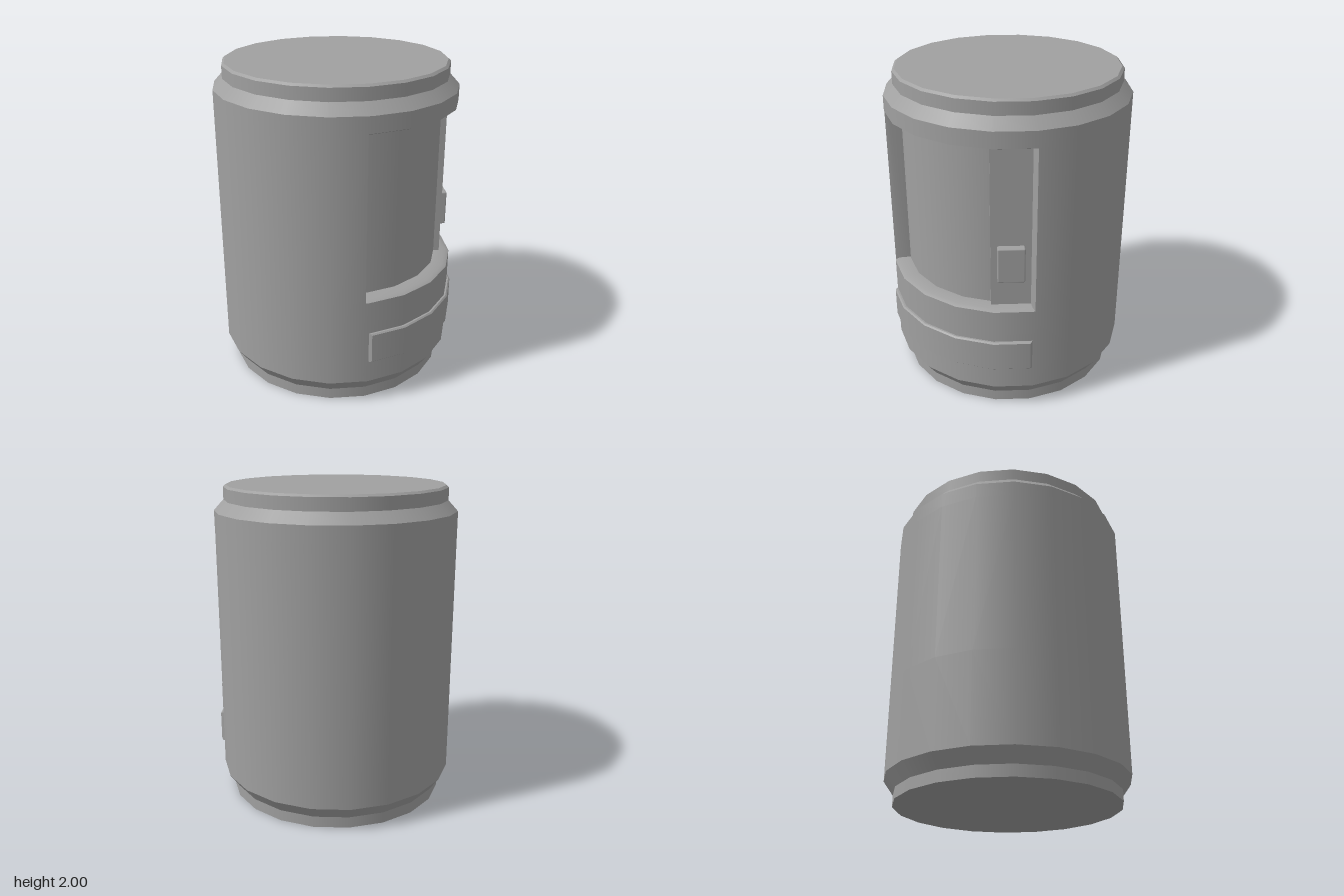
import * as THREE from 'three';
import { mergeGeometries, toCreasedNormals } from 'three/addons/utils/BufferGeometryUtils.js';
import { RoundedBoxGeometry } from 'three/addons/geometries/RoundedBoxGeometry.js';

const SIDES = 20, STEP = 360 / SIDES, CREASE = 0.5;
const rad = THREE.MathUtils.degToRad;
const material = new THREE.MeshStandardMaterial({ color: 0xa0a0a0 });

// Point on a 20-sided prism; angle in degrees from the front towards +x
function onPrism(r, angle, y) {
  const local = ((angle % STEP) + STEP) % STEP - STEP / 2;
  const d = r * Math.cos(rad(STEP / 2)) / Math.cos(rad(local));
  return [d * Math.sin(rad(angle)), y, d * Math.cos(rad(angle))];
}

// Curved patch that steps in or out through frames [a0, a1, y0, y1, r]; the last one is closed
function relief(frames) {
  const [a0, a1] = frames[0];
  const stations = [a0];
  for (let a = (Math.floor(a0 / STEP) + 1) * STEP; a < a1; a += STEP) stations.push(a);
  stations.push(a1);
  const n = stations.length;

  const loops = frames.map(([b0, b1, y0, y1, r]) => {
    const row = (y) => stations.map((a) => onPrism(r, THREE.MathUtils.clamp(a, b0, b1), y));
    return [...row(y0), ...row(y1).reverse()];
  });

  const pos = [];
  const quad = (a, b, c, d) => pos.push(...a, ...b, ...c, ...a, ...c, ...d);
  for (let k = 0; k + 1 < loops.length; k++) {
    const A = loops[k], B = loops[k + 1];
    for (let i = 0; i < A.length; i++) {
      const j = (i + 1) % A.length;
      quad(A[i], A[j], B[j], B[i]);
    }
  }
  const capStart = pos.length / 3;
  const L = loops[loops.length - 1];
  for (let i = 0; i + 1 < n; i++) quad(L[i], L[i + 1], L[2 * n - 2 - i], L[2 * n - 1 - i]);

  let geo = new THREE.BufferGeometry();
  geo.setAttribute('position', new THREE.Float32BufferAttribute(pos, 3));
  geo = toCreasedNormals(geo, CREASE);

  // The closing face is smooth around the axis
  const { position, normal } = geo.attributes;
  for (let i = capStart; i < position.count; i++) {
    const x = position.getX(i), z = position.getZ(i), d = Math.hypot(x, z);
    normal.setXYZ(i, x / d, 0, z / d);
  }
  return geo;
}

// Turned shape, smooth around the axis and sharp between the steps of its profile
function lathe(profile) {
  const points = profile.map(([r, y]) => new THREE.Vector2(r, y));
  return mergeGeometries(points.slice(1).map((p, i) => new THREE.LatheGeometry([points[i], p], SIDES)));
}

export function createModel() {
  const group = new THREE.Group();
  const add = (name, geometry) => {
    const mesh = new THREE.Mesh(geometry, material);
    mesh.name = name;
    mesh.position.z = -0.01;
    group.add(mesh);
    return mesh;
  };

  // Body: base, rim and the wall beside the window opening
  const R = 0.755, winLow = 0.71, winHigh = 1.747, winLeft = -37.4, winRight = 54.9;
  add('lowerBody', lathe([[0, 0], [0.695, 0], [0.695, 0.07], [R, 0.155], [R, winLow]]));
  add('upperBody', lathe([[R, winHigh], [R, 1.845], [0.695, 1.91], [0.695, 1.987], [0.68, 2], [0, 2]]));
  add('bodyWall', relief([[winRight, 360 + winLeft, winLow, winHigh, R]]));

  // Recessed window with a chamfered edge
  const low = 0.722, high = 1.736;
  add('windowRecess', relief([
    [winLeft, winRight, winLow, winHigh, R],
    [-37, 54, low, high, 0.729],
    [-37, 54, low, high, 0.655],
  ]));

  // Flat parts facing 45 degrees: d is the distance from the axis, t the shift sideways
  const addFacing = (name, geometry, d, t, y) => {
    const mesh = add(name, geometry);
    mesh.position.set((d + t) * Math.SQRT1_2, y, (d - t) * Math.SQRT1_2 - 0.01);
    mesh.rotation.y = rad(45);
  };

  // Raised control panel at one side of the recess, with a small box on it
  addFacing('controlPanel', new THREE.BoxGeometry(0.252, high - low, 0.06), 0.645, -0.006, (low + high) / 2);
  addFacing('controlBox', new RoundedBoxGeometry(0.163, 0.225, 0.07, 1, 0.009), 0.682, -0.012, 1.008);

  // Curved hatch below the window
  add('dispenserHatch', relief([
    [-36, 54, 0.3, 0.5, 0.75],
    [-35.2, 53.2, 0.3, 0.5, 0.766],
    [-34.6, 52.6, 0.308, 0.492, 0.775],
  ]));

  return group;
}
